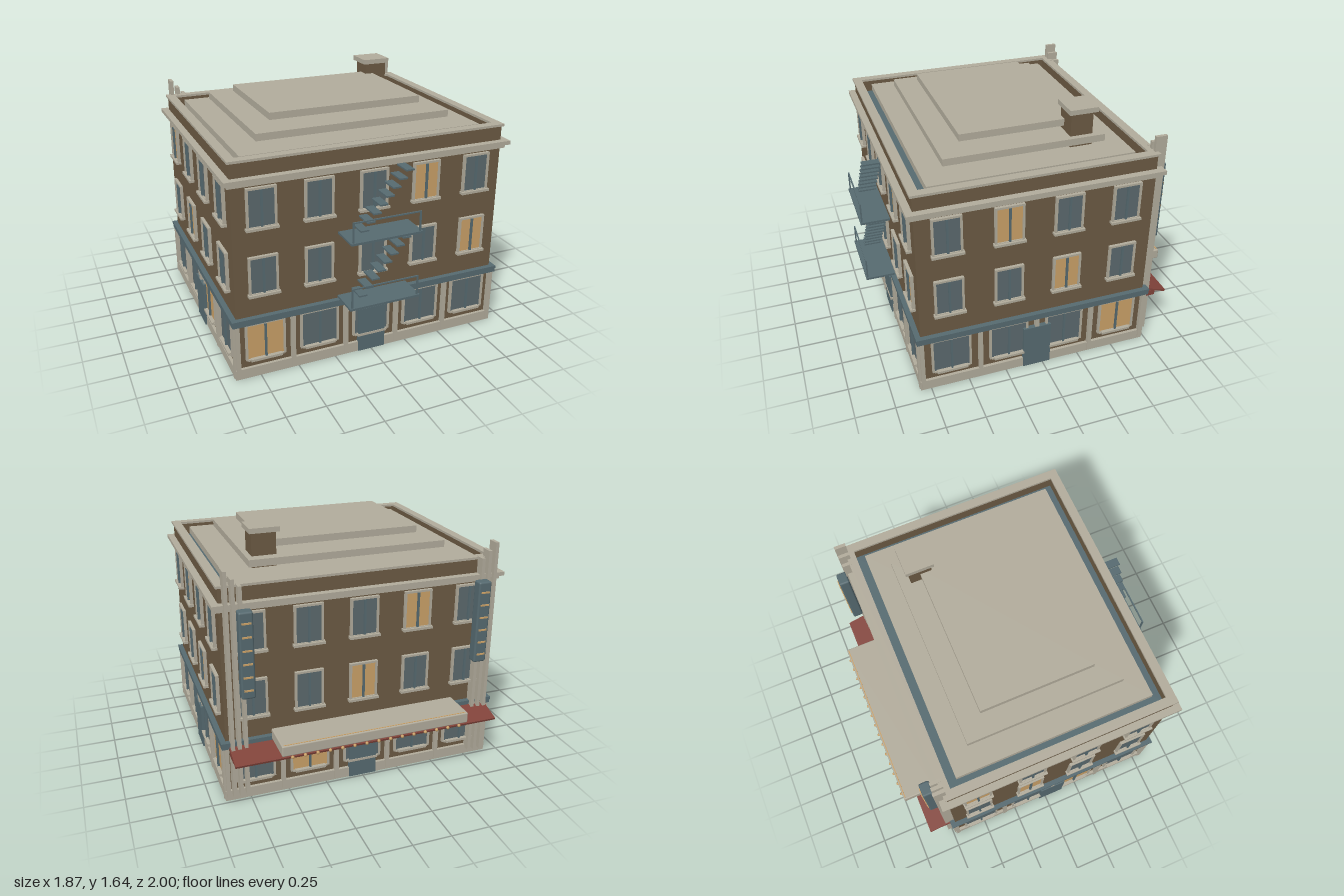
import * as THREE from 'three';
import { RoundedBoxGeometry } from 'three/addons/geometries/RoundedBoxGeometry.js';

const mat = (name, color) => {
  const m = new THREE.MeshStandardMaterial({ color });
  m.name = name;
  return m;
};

export function createModel() {
  const brick = mat('brick', 0x6b5a43);
  const stone = mat('stone', 0xb1ab9b);
  const metal = mat('metal', 0x566a70);
  const glass = mat('glass', 0x5b696d);
  const lit = mat('lit glass', 0xc9a067);
  const red = mat('red awning', 0x81433a);

  const model = new THREE.Group();
  model.name = 'cornerBuilding';

  const add = (parent, name, geometry, material) => {
    const mesh = new THREE.Mesh(geometry, material);
    mesh.name = name;
    parent.add(mesh);
    return mesh;
  };
  // Box given by its limits on each axis
  const box = (parent, name, m, x0, x1, y0, y1, z0, z1) => {
    const b = add(parent, name, new THREE.BoxGeometry(x1 - x0, y1 - y0, z1 - z0), m);
    b.position.set((x0 + x1) / 2, (y0 + y1) / 2, (z0 + z1) / 2);
    return b;
  };
  const roundBox = (parent, name, m, x0, x1, y0, y1, z0, z1, r) => {
    const b = add(parent, name, new RoundedBoxGeometry(x1 - x0, y1 - y0, z1 - z0, 2, r), m);
    b.position.set((x0 + x1) / 2, (y0 + y1) / 2, (z0 + z1) / 2);
    return b;
  };
  // Rectangular ring lying flat, with half sizes and an inner margin
  const ring = (parent, name, m, hx, hz, margin, y0, y1) => {
    const rect = (P, a, b) => new P([[-a, -b], [a, -b], [a, b], [-a, b]].map(p => new THREE.Vector2(...p)));
    const shape = rect(THREE.Shape, hx, hz);
    shape.holes.push(rect(THREE.Path, hx - margin, hz - margin));
    const g = new THREE.ExtrudeGeometry(shape, { depth: y1 - y0, bevelEnabled: false });
    g.rotateX(-Math.PI / 2);
    add(parent, name, g, m).position.y = y0;
  };

  const HX = 0.89, HZ = 0.754, CZ = 0.043;
  const body = new THREE.Group();
  body.name = 'building';
  body.position.z = CZ;
  model.add(body);
  const slab = (name, m, grow, y0, y1) =>
    box(body, name, m, -HX - grow, HX + grow, y0, y1, -HZ - grow, HZ + grow);

  // Walls and horizontal bands
  slab('walls', brick, 0, 0.01, 1.27);
  slab('plinth', stone, 0.02, 0, 0.068);
  slab('shopBand', metal, 0.03, 0.372, 0.405);
  slab('shopBandCap', metal, 0.033, 0.398, 0.415);
  slab('corniceLower', stone, 0.022, 1.255, 1.28);
  slab('cornice', stone, 0.045, 1.28, 1.305);

  // Parapet, gutter floor and roof
  slab('gutterFloor', metal, -0.02, 1.3, 1.32);
  ring(body, 'parapet', brick, HX, HZ, 0.045, 1.3, 1.397);
  ring(body, 'parapetCap', stone, HX + 0.012, HZ + 0.012, 0.058, 1.395, 1.41);
  box(model, 'roofSlab', stone, -0.795, 0.795, 1.345, 1.39, -0.61, 0.69);
  box(model, 'roofTierLower', stone, -0.65, 0.645, 1.418, 1.463, -0.475, 0.553);
  box(model, 'roofTierUpper', stone, -0.515, 0.51, 1.492, 1.537, -0.335, 0.413);
  box(model, 'chimney', brick, 0.455, 0.61, 1.39, 1.61, -0.405, -0.26);
  box(model, 'chimneyCap', stone, 0.435, 0.627, 1.608, 1.64, -0.43, -0.245);

  // Window facing +z, with its frame, sill and mullion
  const windowUnit = (side, x, y0, y1, half, bar, sillHalf, sillY, isLit) => {
    const g = new THREE.Group();
    g.name = 'window';
    g.position.x = x;
    side.add(g);
    const xi = half - bar;
    box(g, 'pane', isLit ? lit : glass, -xi, xi, y0, y1 - bar, 0.002, 0.01);
    for (const s of [-1, 1]) {
      const c = s * (half - bar / 2);
      box(g, 'frameJamb', stone, c - bar / 2, c + bar / 2, y0, y1, 0, 0.02);
    }
    box(g, 'frameHead', stone, -xi, xi, y1 - bar, y1, 0, 0.02);
    box(g, 'frameFoot', stone, -xi, xi, y0 - 0.006, y0 + 0.006, 0, 0.02);
    box(g, 'mullion', metal, -0.006, 0.006, y0 + 0.006, y1 - bar, 0.005, 0.024);
    box(g, 'sill', stone, -sillHalf, sillHalf, sillY, sillY + 0.016, 0, 0.034);
  };

  // Four sides: turn, distance, half width, bays, lit bay on each floor
  const sides = [
    ['frontSide', 0, HZ, HX, 5, [0, 4, 3]],
    ['leftSide', Math.PI / 2, HX, HZ, 4, [3, 2, 1]],
    ['backSide', Math.PI, HZ, HX, 5, [1, 2, 3]],
    ['rightSide', -Math.PI / 2, HX, HZ, 4, [2, 1, 0]],
  ];
  for (const [name, turn, dist, half, bays, litBays] of sides) {
    const pivot = new THREE.Group();
    pivot.name = name;
    pivot.rotation.y = turn;
    body.add(pivot);
    const side = new THREE.Group();
    side.name = name + 'Details';
    side.position.z = dist;
    pivot.add(side);
    const pitch = 2 * half / bays;
    for (let i = 0; i <= bays; i++) {
      const x = -half + i * pitch;
      box(side, 'pilaster', stone, x - 0.013, x + 0.013, 0.01, 0.374, -0.01, 0.027);
    }
    for (let i = 0; i < bays; i++) {
      const x = -half + (i + 0.5) * pitch;
      windowUnit(side, x, 0.12, 0.372, 0.128, 0.013, 0.1, 0.115, litBays[0] === i);
      windowUnit(side, x, 0.565, 0.81, 0.092, 0.013, 0.1, 0.552, litBays[1] === i);
      windowUnit(side, x, 0.993, 1.24, 0.092, 0.013, 0.1, 0.98, litBays[2] === i);
    }
    box(side, 'door', metal, -0.092, 0.092, 0.004, 0.31, 0, 0.03);
  }

  // Fire escape: two landings with a front rail and floating treads
  for (const y of [0.428, 0.862]) {
    const g = new THREE.Group();
    g.name = 'fireEscape';
    g.position.y = y;
    model.add(g);
    box(g, 'landing', metal, -0.237, 0.237, 0, 0.014, 0.81, 1);
    box(g, 'handrail', metal, -0.225, 0.225, 0.137, 0.145, 0.985, 0.994);
    for (const x of [-0.221, 0.221])
      box(g, 'railPost', metal, x - 0.005, x + 0.005, 0.01, 0.14, 0.985, 0.994);
    for (let i = 0; i < 8; i++) {
      const x = -0.126 + i * 0.041, ty = 0.05 + i * 0.0487;
      box(g, 'tread', metal, x - 0.027, x + 0.027, ty, ty + 0.01, 0.832, 0.948);
    }
  }

  // Rear corner piers and upright signs
  for (const s of [-1, 1]) {
    [[0.857, 1.508], [0.815, 1.458], [0.773, 1.412]].forEach(([x, top], i) =>
      box(model, 'cornerPier', stone, s * x - 0.011, s * x + 0.011, 0.045, top, -0.775 + i * 0.003, -0.7));
    roundBox(model, 'uprightSign', metal, s * 0.76 - 0.043, s * 0.76 + 0.043, 0.738, 1.28, -0.833, -0.765, 0.012);
    for (let i = 0; i < 6; i++) {
      const y = 0.795 + i * 0.0835;
      box(model, 'signLight', lit, s * 0.76 - 0.028, s * 0.76 + 0.028, y - 0.005, y + 0.005, -0.84, -0.831);
    }
  }

  // Rear awning with brackets
  const awning = box(model, 'awning', red, -0.875, 0.875, -0.007, 0.007, -0.083, 0.083);
  awning.position.set(0, 0.357, -0.815);
  awning.rotation.x = -0.28;
  for (let i = 0; i < 6; i++) {
    const x = -0.86 + i * 0.344;
    box(model, 'awningBracket', red, x - 0.01, x + 0.01, 0.315, 0.35, -0.82, -0.73);
  }

  // Rear canopy with a row of bulbs
  roundBox(model, 'canopy', stone, -0.615, 0.612, 0.403, 0.473, -0.983, -0.75, 0.008);
  box(model, 'canopyLightStrip', lit, -0.6, 0.6, 0.47, 0.475, -0.974, -0.968);
  for (let i = 0; i < 15; i++) {
    const bulb = add(model, 'bulb', new THREE.SphereGeometry(0.011, 8, 6), lit);
    bulb.position.set(-0.55 + i * 0.0786, 0.396, -0.988);
  }
  return model;
}
